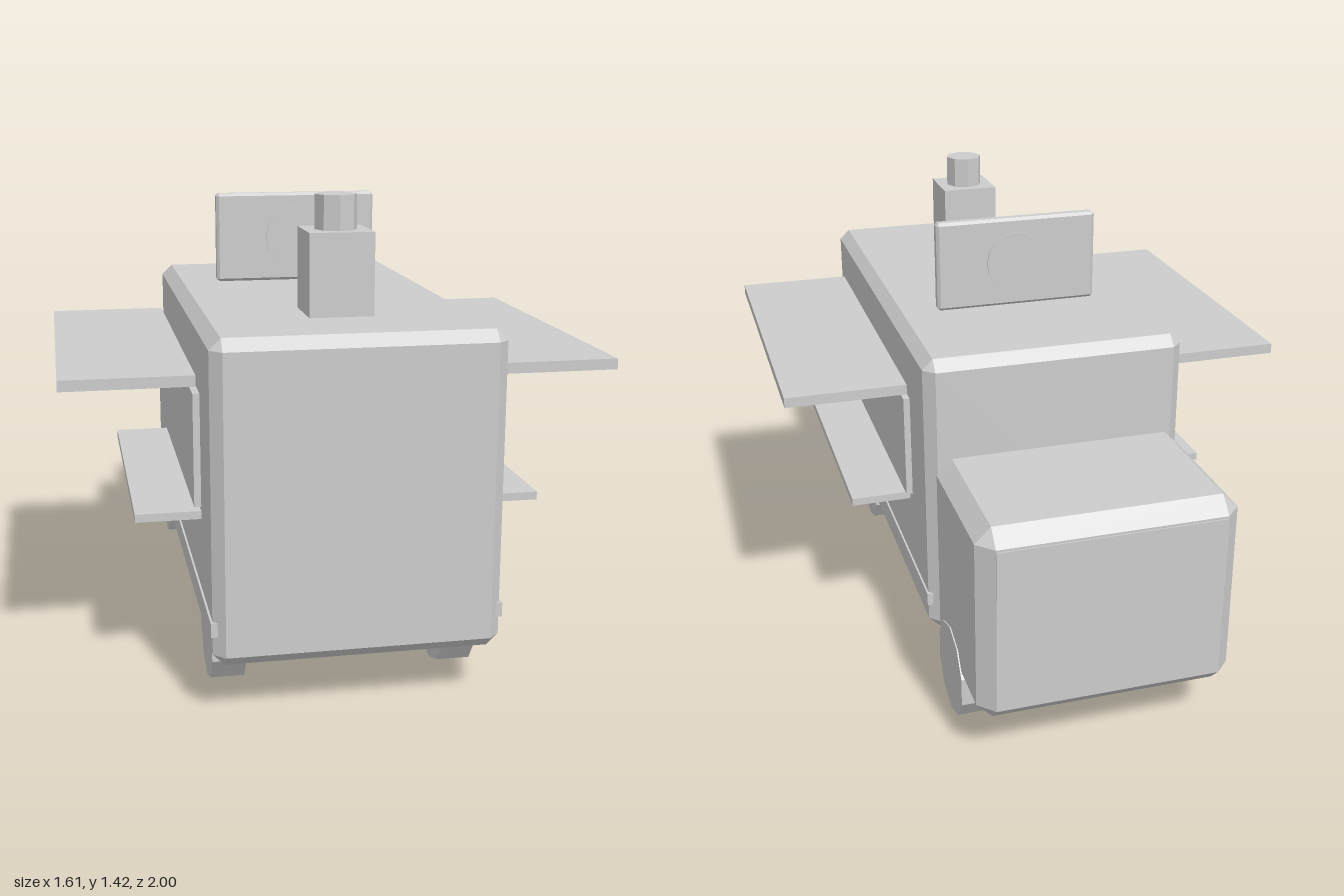
import * as THREE from 'three';
import { ConvexGeometry } from 'three/addons/geometries/ConvexGeometry.js';

const grey = new THREE.MeshStandardMaterial({ color: 0xcccccc, flatShading: true });
grey.name = 'plain grey';

// Box whose twelve edges and eight corners are cut off flat
function chamferBox(w, h, d, c) {
  const points = [];
  for (const sx of [-1, 1]) for (const sy of [-1, 1]) for (const sz of [-1, 1]) {
    const x = w / 2, y = h / 2, z = d / 2;
    points.push(
      new THREE.Vector3(sx * x, sy * (y - c), sz * (z - c)),
      new THREE.Vector3(sx * (x - c), sy * y, sz * (z - c)),
      new THREE.Vector3(sx * (x - c), sy * (y - c), sz * z));
  }
  return new ConvexGeometry(points);
}

export function createModel() {
  const model = new THREE.Group();
  model.name = 'foodTruck';

  const add = (name, geometry, x, y, z) => {
    const mesh = new THREE.Mesh(geometry, grey);
    mesh.name = name;
    mesh.position.set(x, y, z);
    model.add(mesh);
    return mesh;
  };

  // Block given by its lower and upper limits; chamfer is optional
  const block = (name, [x0, x1], [y0, y1], [z0, z1], c = 0) => {
    const size = [x1 - x0, y1 - y0, z1 - z0];
    const geometry = c ? chamferBox(...size, c) : new THREE.BoxGeometry(...size);
    return add(name, geometry, (x0 + x1) / 2, (y0 + y1) / 2, (z0 + z1) / 2);
  };

  // Kitchen body and driver's cab
  block('body', [-0.41, 0.41], [0.155, 1.075], [-0.475, 1], 0.033);
  block('cab', [-0.39, 0.39], [0.155, 0.777], [-0.996, -0.465], 0.048);
  block('windshield', [-0.342, 0.342], [0.505, 0.722], [-1, -0.99]);

  // Fittings on both sides
  for (const side of [-1, 1]) {
    const label = side > 0 ? 'left' : 'right';
    const span = (a, b) => (side > 0 ? [a, b] : [-b, -a]);
    block(label + 'ServingWindow', span(0.4, 0.43), [0.54, 0.873], [-0.25, 0.735]);
    block(label + 'Awning', span(0.428, 0.803), [0.91, 0.942], [-0.3, 0.807]);
    block(label + 'Counter', span(0.4, 0.6), [0.503, 0.527], [-0.21, 0.735]);
    block(label + 'Stripe', span(0.395, 0.416), [0.243, 0.285], [-0.455, 0.98]);

    // Ten-sided wheels resting on a flat facet
    for (const [end, z] of [['Front', -0.655], ['Rear', 0.673]]) {
      const tire = new THREE.CylinderGeometry(0.145, 0.145, 0.1, 10);
      tire.rotateZ(Math.PI / 2);
      tire.rotateX(Math.PI / 2);
      // bring a facet, not a corner, to the bottom
      const wheel = add(label + end + 'Wheel', tire, side * 0.344, 0.138, z);
      wheel.rotation.x = 0;
    }
  }

  // Roof sign with a round badge showing on both faces
  block('roofSign', [-0.264, 0.264], [1.075, 1.365], [-0.045, -0.005], 0.009);
  const badge = new THREE.CylinderGeometry(0.1, 0.1, 0.05, 16);
  badge.rotateX(Math.PI / 2);
  add('signBadge', badge, 0, 1.22, -0.025);

  // Roof vent and its pipe
  block('vent', [-0.094, 0.094], [1.07, 1.315], [0.537, 0.725]);
  add('ventPipe', new THREE.CylinderGeometry(0.062, 0.062, 0.105, 8), 0, 1.363, 0.63);

  return model;
}
